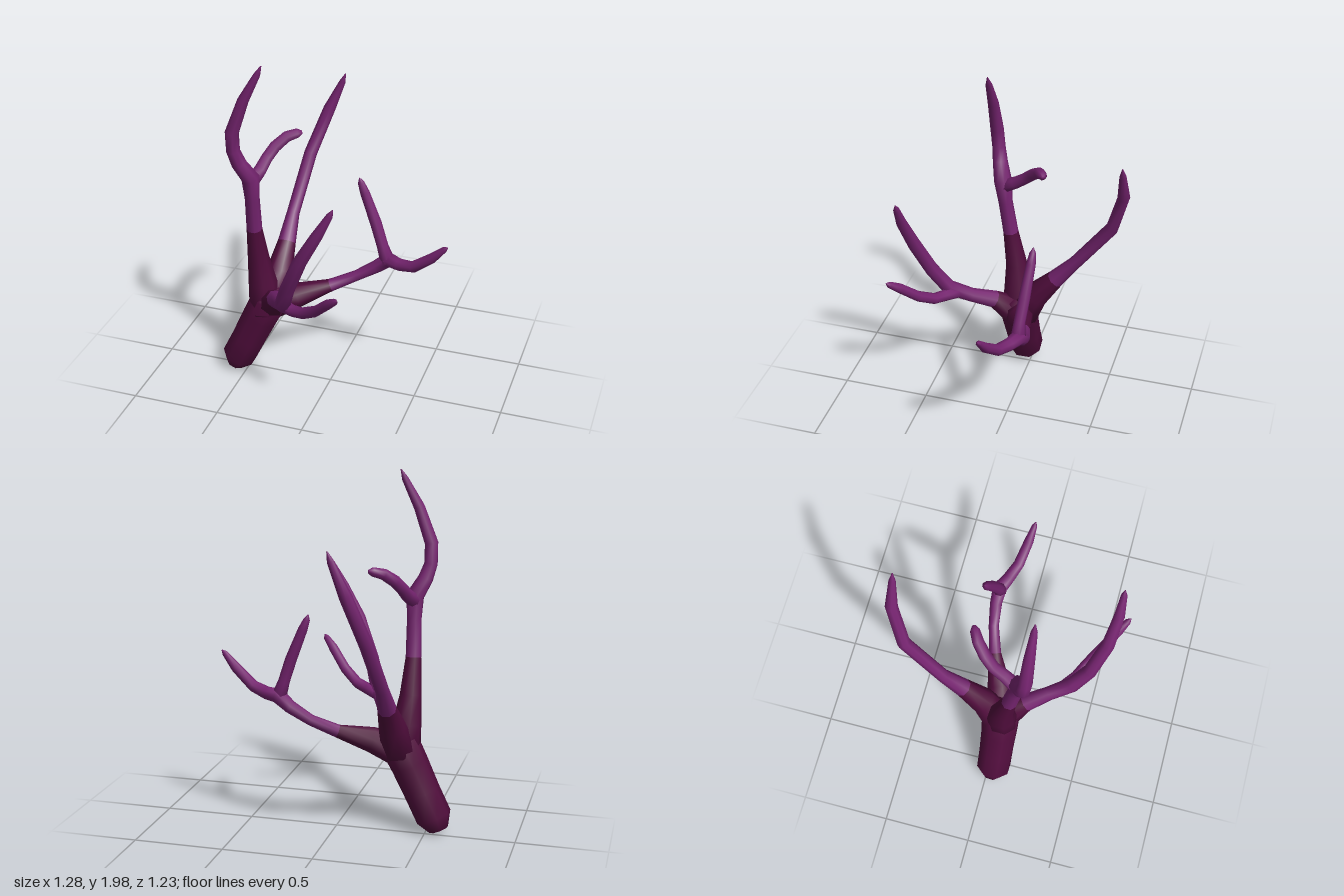
import * as THREE from 'three';

const SIDES = 8;

// Sweep an eight-sided limb along points [x, y, z, radius]; the first `darkRings` spans use material 0.
function limbGeometry(points, darkSpans) {
  const p = points.map(a => new THREE.Vector3(a[0], a[1], a[2]));
  const n = p.length;
  const pos = [], index = [];
  const normal = new THREE.Vector3();
  let lastDir = null;
  for (let i = 0; i < n; i++) {
    const before = p[i].clone().sub(p[Math.max(i - 1, 0)]).normalize();
    const after = p[Math.min(i + 1, n - 1)].clone().sub(p[i]).normalize();
    const dir = before.add(after).normalize();
    // carry the ring's frame along the limb without twisting
    if (!lastDir) normal.set(0, 0, 1).addScaledVector(dir, -dir.z).normalize();
    else normal.applyQuaternion(new THREE.Quaternion().setFromUnitVectors(lastDir, dir));
    lastDir = dir;
    const side = new THREE.Vector3().crossVectors(dir, normal);
    for (let s = 0; s < SIDES; s++) {
      const a = (s + 0.5) / SIDES * Math.PI * 2;
      const v = p[i].clone()
        .addScaledVector(normal, Math.cos(a) * points[i][3])
        .addScaledVector(side, Math.sin(a) * points[i][3]);
      pos.push(v.x, v.y, v.z);
    }
  }
  for (let i = 0; i < n - 1; i++) {
    for (let s = 0; s < SIDES; s++) {
      const t = (s + 1) % SIDES;
      const a = i * SIDES + s, b = i * SIDES + t;
      index.push(a, b, b + SIDES, a, b + SIDES, a + SIDES);
    }
  }
  // closing fans; the start fan comes first so that it shares the dark group
  const start = pos.length / 3, end = start + 1;
  pos.push(...p[0].toArray(), ...p[n - 1].toArray());
  const startFan = [];
  for (let s = 0; s < SIDES; s++) {
    const t = (s + 1) % SIDES, o = (n - 1) * SIDES;
    startFan.push(start, t, s);
    index.push(end, o + s, o + t);
  }
  const all = startFan.concat(index);
  const g = new THREE.BufferGeometry();
  g.setAttribute('position', new THREE.Float32BufferAttribute(pos, 3));
  g.setIndex(all);
  g.computeVertexNormals();
  const split = darkSpans ? SIDES * 3 + darkSpans * SIDES * 6 : 0;
  if (split) g.addGroup(0, split, 0);
  g.addGroup(split, all.length - split, 1);
  return g;
}

export function createModel() {
  const darkBark = new THREE.MeshStandardMaterial({ color: 0x500d3c });
  darkBark.name = 'darkBark';
  const purpleBark = new THREE.MeshStandardMaterial({ color: 0x762470 });
  purpleBark.name = 'purpleBark';

  const group = new THREE.Group();
  group.name = 'bareTree';
  const add = (name, points, darkSpans = 0) => {
    const whole = darkSpans >= points.length - 1;
    const g = limbGeometry(points, whole ? 0 : darkSpans);
    if (whole) g.clearGroups();
    const mesh = new THREE.Mesh(g, whole ? darkBark : [darkBark, purpleBark]);
    mesh.name = name;
    group.add(mesh);
  };

  // leaning trunk with a rounded foot
  add('trunk', [
    [-0.575, 0.045, 0.03, 0.055], [-0.545, 0.115, 0.035, 0.1], [-0.48, 0.25, 0.035, 0.1],
    [-0.405, 0.41, 0.035, 0.105], [-0.345, 0.53, 0.03, 0.11], [-0.325, 0.61, 0.03, 0.07],
  ], 5);

  // tallest limb and its curled twig
  add('tallBranch', [
    [-0.365, 0.46, 0.04, 0.1], [-0.385, 0.64, 0.045, 0.08], [-0.4, 0.8, 0.06, 0.06],
    [-0.405, 1.0, 0.095, 0.043], [-0.4, 1.2, 0.125, 0.04], [-0.4, 1.33, 0.14, 0.05],
    [-0.45, 1.42, 0.17, 0.042], [-0.475, 1.5, 0.185, 0.037], [-0.474, 1.61, 0.195, 0.037],
    [-0.405, 1.8, 0.195, 0.03], [-0.325, 1.95, 0.195, 0.018], [-0.302, 2.0, 0.195, 0.003],
  ], 3);
  add('tallBranchTwig', [
    [-0.4, 1.3, 0.13, 0.04], [-0.375, 1.345, 0.06, 0.036], [-0.36, 1.39, 0.0, 0.033],
    [-0.33, 1.44, -0.05, 0.033], [-0.28, 1.485, -0.1, 0.031], [-0.23, 1.5, -0.13, 0.026],
    [-0.208, 1.502, -0.142, 0.01],
  ]);

  // back limb
  add('backBranch', [
    [-0.35, 0.5, 0.0, 0.095], [-0.33, 0.65, -0.08, 0.075], [-0.325, 0.78, -0.19, 0.052],
    [-0.325, 0.91, -0.3, 0.037], [-0.29, 1.2, -0.51, 0.037], [-0.2, 1.46, -0.582, 0.034],
    [-0.125, 1.63, -0.585, 0.018], [-0.107, 1.68, -0.585, 0.003],
  ], 2);

  // left limb and its upright twig
  add('leftBranch', [
    [-0.34, 0.49, 0.02, 0.09], [-0.2, 0.55, -0.02, 0.07], [-0.03, 0.605, -0.09, 0.036],
    [0.11, 0.67, -0.135, 0.03], [0.22, 0.74, -0.15, 0.036], [0.29, 0.8, -0.147, 0.044],
    [0.36, 0.797, -0.115, 0.036], [0.45, 0.82, -0.078, 0.032], [0.56, 0.91, -0.05, 0.028],
    [0.63, 0.985, -0.035, 0.016], [0.647, 1.0, -0.032, 0.003],
  ], 2);
  add('leftBranchTwig', [
    [0.285, 0.79, -0.145, 0.042], [0.255, 0.88, -0.145, 0.032], [0.21, 1.01, -0.158, 0.032],
    [0.14, 1.18, -0.172, 0.026], [0.117, 1.235, -0.175, 0.018], [0.108, 1.262, -0.176, 0.003],
  ]);

  // front limb and its low twig
  add('frontBranch', [
    [-0.34, 0.5, 0.04, 0.09], [-0.27, 0.61, 0.155, 0.05], [-0.2, 0.665, 0.27, 0.04],
    [-0.14, 0.735, 0.385, 0.043], [-0.085, 0.88, 0.465, 0.04], [0.01, 1.1, 0.53, 0.038],
    [0.11, 1.28, 0.552, 0.031], [0.18, 1.41, 0.552, 0.018], [0.196, 1.445, 0.552, 0.003],
  ], 1);
  add('frontBranchTwig', [
    [-0.155, 0.705, 0.345, 0.04], [-0.08, 0.715, 0.395, 0.033], [-0.01, 0.735, 0.43, 0.031],
    [0.08, 0.8, 0.49, 0.03], [0.17, 0.9, 0.56, 0.028], [0.222, 0.95, 0.6, 0.018],
    [0.236, 0.966, 0.613, 0.003],
  ]);

  return group;
}
